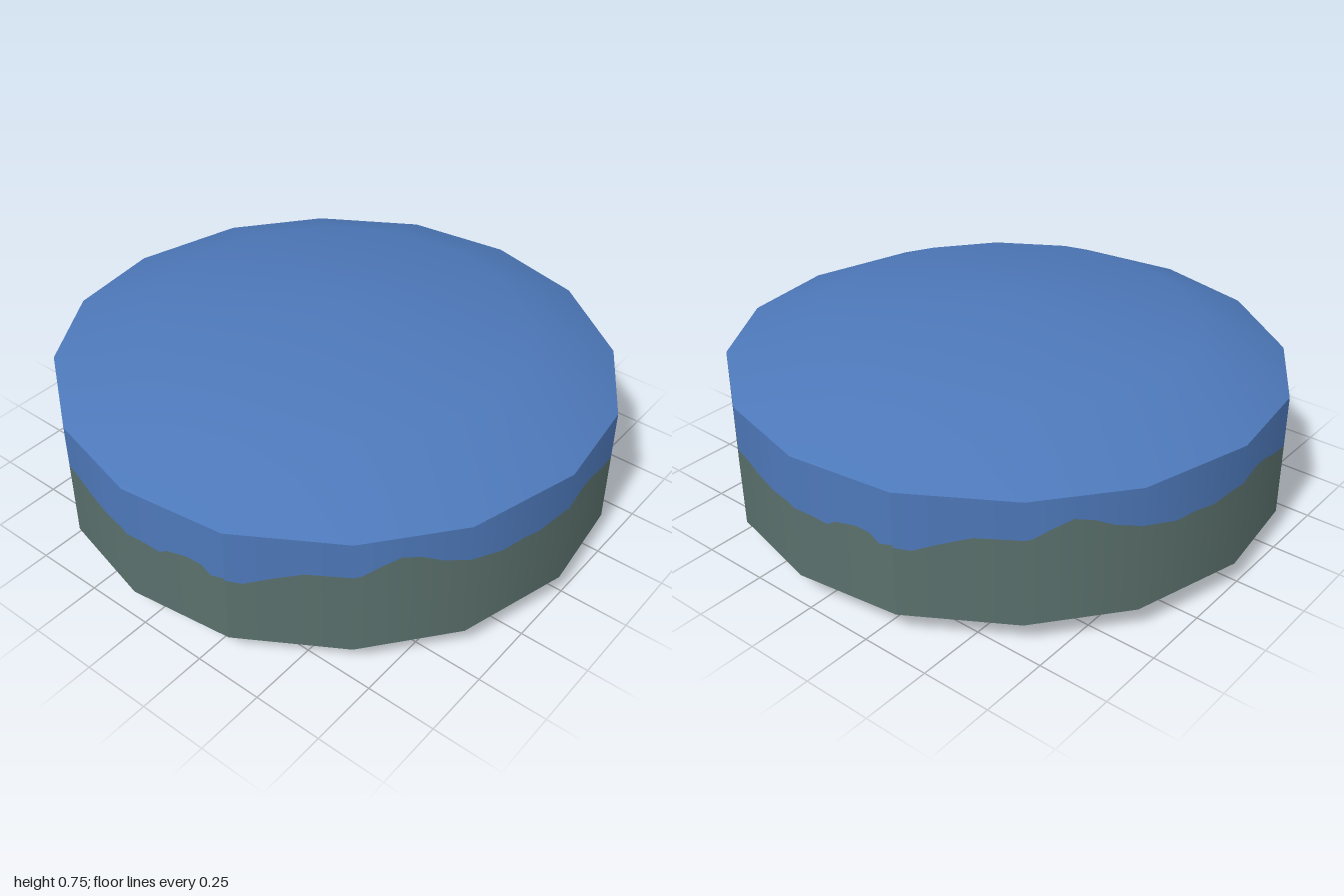
import * as THREE from 'three';
import { mergeVertices } from 'three/addons/utils/BufferGeometryUtils.js';

const BASE = 0.09, RIM = 0.545, FLOOR = 0.022;

// Two quarter walls: plan corners [u, v] and the ridge line [u, height]
const QUARTERS = [
  {
    corners: [[-0.93, 0.32], [-0.72, 0.66], [-0.43, 0.89], [-0.03, 1], [0.33, 0.955]],
    ridge: [[-0.93, 0.345], [-0.9, 0.34], [-0.85, 0.375], [-0.8, 0.405], [-0.7, 0.41], [-0.65, 0.44],
      [-0.6, 0.465], [-0.55, 0.452], [-0.5, 0.425], [-0.4, 0.4], [-0.3, 0.373], [-0.22, 0.378],
      [-0.15, 0.373], [-0.05, 0.4], [0.07, 0.412], [0.15, 0.402], [0.25, 0.37], [0.33, 0.358]],
  },
  {
    corners: [[-0.955, 0.33], [-0.76, 0.645], [-0.43, 0.89], [-0.06, 0.98], [0.32, 0.93]],
    ridge: [[-0.955, 0.355], [-0.92, 0.345], [-0.87, 0.39], [-0.83, 0.407], [-0.8, 0.39], [-0.77, 0.35],
      [-0.72, 0.333], [-0.65, 0.343], [-0.55, 0.36], [-0.45, 0.382], [-0.37, 0.375], [-0.3, 0.358],
      [-0.2, 0.345], [-0.1, 0.355], [0, 0.35], [0.07, 0.34], [0.1, 0.36], [0.18, 0.375],
      [0.23, 0.37], [0.27, 0.342], [0.32, 0.355]],
  },
];

// Turn a plan point by k quarter turns
const turn = ([u, v], k) => [[u, v], [v, -u], [-u, -v], [-v, u]][k];

// Piecewise linear lookup in rows sorted by their first value
function lookup(rows, u, col = 1) {
  let i = 0;
  while (i < rows.length - 2 && u > rows[i + 1][0]) i++;
  const a = rows[i], b = rows[i + 1];
  return THREE.MathUtils.lerp(a[col], b[col], (u - a[0]) / (b[0] - a[0]));
}

// Corner rows [u, nu, nv] with normals smoothed inside one quarter
function cornerNormals(corners) {
  const faces = corners.slice(1).map((b, i) =>
    new THREE.Vector2(-(b[1] - corners[i][1]), b[0] - corners[i][0]).normalize());
  return corners.map((c, i) => {
    const n = (faces[i - 1] || faces[i]).clone().add(faces[i] || faces[i - 1]).normalize();
    return [c[0], n.x, n.y];
  });
}

// Wall strip between two height functions, for quarter k
function wallStrip({ corners, ridge }, k, low, high) {
  const normals = cornerNormals(corners);
  const us = [...new Set([...corners, ...ridge].map((p) => p[0]))].sort((a, b) => a - b);
  const pos = [], nor = [], idx = [];
  us.forEach((u, i) => {
    const [x, z] = turn([u, lookup(corners, u)], k);
    const n = turn([lookup(normals, u, 1), lookup(normals, u, 2)], k);
    const len = Math.hypot(...n), top = lookup(ridge, u);
    for (const y of [low(top), high(top)]) {
      pos.push(x, y, z);
      nor.push(n[0] / len, 0, n[1] / len);
    }
    const a = 2 * i;
    if (i < us.length - 1) idx.push(a, a + 2, a + 3, a, a + 3, a + 1);
  });
  const geo = new THREE.BufferGeometry();
  geo.setAttribute('position', new THREE.Float32BufferAttribute(pos, 3));
  geo.setAttribute('normal', new THREE.Float32BufferAttribute(nor, 3));
  geo.setIndex(idx);
  return geo;
}

// Smooth cap made of an outer ring, an inner ring and a centre point
function capGeometry(outer, inner, centre, facesDown) {
  const n = outer.length, idx = [];
  for (let i = 0; i < n; i++) {
    const j = (i + 1) % n;
    idx.push(i, j, n + j, i, n + j, n + i, n + i, n + j, 2 * n);
  }
  if (facesDown) idx.reverse();
  const geo = new THREE.BufferGeometry();
  geo.setAttribute('position', new THREE.Float32BufferAttribute([...outer, ...inner, centre].flat(), 3));
  geo.setIndex(idx);
  const merged = mergeVertices(geo);
  merged.computeVertexNormals();
  return merged;
}

export function createModel() {
  const model = new THREE.Group();
  const material = (name, color) => Object.assign(new THREE.MeshStandardMaterial({ color }), { name });
  const sky = material('sky blue', 0x4d78b9);
  const hills = material('hill grey green', 0x5a706c);
  const earth = material('sandy earth', 0xbca686);
  const slate = material('dark slate', 0x3f5257);
  const teal = material('misty teal', 0x7b9797);
  const cream = material('pale stone', 0xd0c8a4);

  const add = (name, geo, mat) => {
    const mesh = new THREE.Mesh(geo, mat);
    mesh.name = name;
    model.add(mesh);
    return mesh;
  };

  // Walls: hills below the ridge line, sky above it
  const outline = [];
  for (let k = 0; k < 4; k++) {
    const quarter = QUARTERS[k % 2];
    outline.push(...quarter.corners.slice(0, 4).map((c) => turn(c, k)));
    add('hillWall', wallStrip(quarter, k, () => BASE, (t) => t), hills);
    add('skyWall', wallStrip(quarter, k, (t) => t, () => RIM), sky);
  }

  // Shallow roof
  const ring = (s, y) => outline.map(([x, z]) => [x * s, y, z * s]);
  add('skyDome', capGeometry(ring(1, RIM), ring(0.68, 0.685), [0, 0.755, 0], false), sky);

  // Ground: slopes in from the wall to a flat rectangle
  const { clamp } = THREE.MathUtils;
  const flat = outline.map(([x, z]) => [clamp(x, -0.22, 0.3), FLOOR, clamp(z, -0.72, 0.56)]);
  add('ground', capGeometry(ring(1, BASE), flat, [0.04, FLOOR, -0.08], true), earth);

  // Foundations that poke out below the ground
  const block = (name, mat, w, h, d, x, y, z) =>
    add(name, new THREE.BoxGeometry(w, h, d), mat).position.set(x, y, z);
  block('centreBeam', slate, 0.58, 0.025, 0.03, 0.04, 0.0125, 0.05);
  block('footing', slate, 0.1, 0.01, 0.012, 0.03, 0.02, -0.26);
  block('footing', slate, 0.08, 0.01, 0.012, 0.03, 0.02, -0.38);
  block('footing', slate, 0.06, 0.008, 0.012, -0.17, 0.021, 0.46);
  block('footing', slate, 0.04, 0.008, 0.01, -0.14, 0.021, 0.4);
  block('cornerFooting', slate, 0.12, 0.016, 0.01, 0.37, 0.038, 0.69);
  block('cornerPanel', teal, 0.01, 0.02, 0.13, 0.44, 0.036, 0.63);
  block('cornerSlab', cream, 0.13, 0.008, 0.012, 0.28, 0.03, 0.6);
  return model;
}
